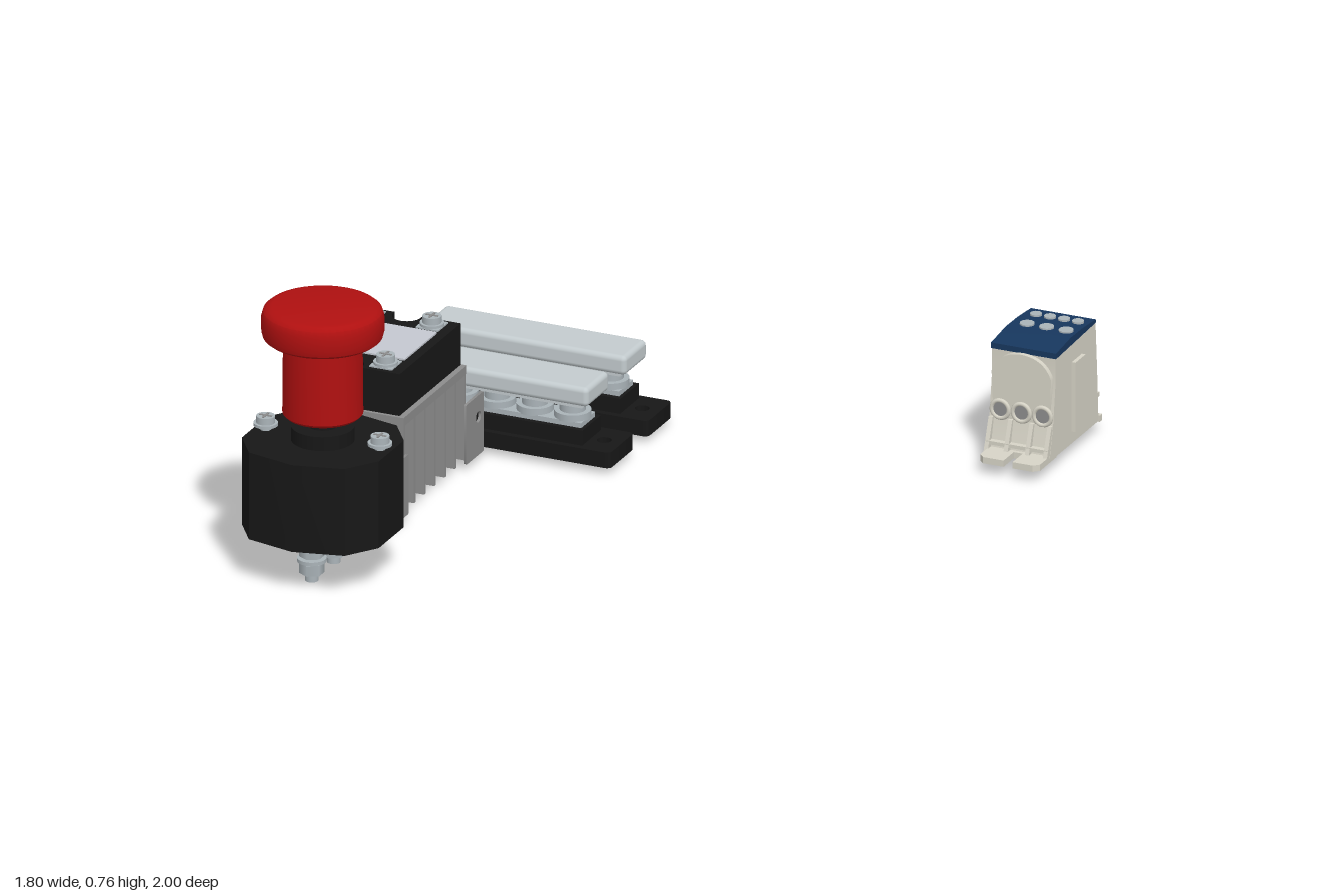
import * as THREE from 'three';
import { RoundedBoxGeometry } from 'three/addons/geometries/RoundedBoxGeometry.js';
import { toCreasedNormals } from 'three/addons/utils/BufferGeometryUtils.js';

const paint = (color) => new THREE.MeshStandardMaterial({ color });
const red = paint(0xb01010), black = paint(0x171717), silver = paint(0xaab3b8), cover = paint(0xc3cbce);
const grey = paint(0x8c8c8c), label = paint(0xc4c8d0), beige = paint(0xd6d3c6), blue = paint(0x17375e);

function add(parent, name, geometry, material, x = 0, y = 0, z = 0) {
  const mesh = new THREE.Mesh(geometry, material);
  mesh.name = name;
  mesh.position.set(x, y, z);
  parent.add(mesh);
  return mesh;
}

// Box given by its limits on each axis
function box(parent, name, material, x0, x1, y0, y1, z0, z1) {
  return add(parent, name, new THREE.BoxGeometry(x1 - x0, y1 - y0, z1 - z0), material,
    (x0 + x1) / 2, (y0 + y1) / 2, (z0 + z1) / 2);
}

// Upright cylinder from y0 to y1
function rod(parent, name, material, r, x, y0, y1, z, sides = 24) {
  return add(parent, name, new THREE.CylinderGeometry(r, r, y1 - y0, sides), material, x, (y0 + y1) / 2, z);
}

function outline(points) {
  return new THREE.Shape(points.map(([a, b]) => new THREE.Vector2(a, b)));
}

function circleHole(shape, x, y, r) {
  shape.holes.push(new THREE.Path().absarc(x, y, r, 0, Math.PI * 2, true));
}

function roundRect(x0, x1, y0, y1, r) {
  const s = new THREE.Shape();
  s.absarc(x1 - r, y1 - r, r, 0, Math.PI / 2);
  s.absarc(x0 + r, y1 - r, r, Math.PI / 2, Math.PI);
  s.absarc(x0 + r, y0 + r, r, Math.PI, Math.PI * 1.5);
  s.absarc(x1 - r, y0 + r, r, Math.PI * 1.5, Math.PI * 2);
  s.closePath();
  return s;
}

const extrude = (shape, depth) => toCreasedNormals(
  new THREE.ExtrudeGeometry(shape, { depth, bevelEnabled: false, curveSegments: 10 }), 0.6);

// Plan shape (x, -z) raised from y0 to y1
function slab(parent, name, material, shape, y0, y1, x = 0, z = 0) {
  return add(parent, name, extrude(shape, y1 - y0).rotateX(-Math.PI / 2), material, x, y0, z);
}

function lathe(points) {
  return toCreasedNormals(new THREE.LatheGeometry(points.map(([r, y]) => new THREE.Vector2(r, y)), 48), 0.6);
}

// Cross-slotted screw head with washer
function screw(parent, x, y, z, r = 0.03) {
  rod(parent, 'screwWasher', silver, r * 1.1, x, y, y + 0.008, z);
  rod(parent, 'screwHead', silver, r * 0.85, x, y + 0.008, y + 0.027, z);
  box(parent, 'screwSlot', grey, x - r * 0.6, x + r * 0.6, y + 0.026, y + 0.029, z - 0.003, z + 0.003);
  box(parent, 'screwSlot', grey, x - 0.003, x + 0.003, y + 0.026, y + 0.029, z - r * 0.6, z + r * 0.6);
}

function createStopSwitch() {
  const g = new THREE.Group();
  g.name = 'stopSwitch';
  g.position.set(-0.595, 0, 0.8);
  slab(g, 'switchBody', black, outline([[0.2, -0.08], [0.2, 0.08], [0.14, 0.167], [0, 0.2], [-0.14, 0.167],
    [-0.2, 0.08], [-0.2, -0.08], [-0.14, -0.167], [0, -0.2], [0.14, -0.167]]), 0.13, 0.38);
  rod(g, 'collar', black, 0.085, 0, 0.38, 0.42, 0, 32);
  rod(g, 'stem', black, 0.04, 0, 0.42, 0.47, 0);
  // Red push knob: neck and rounded cap
  add(g, 'knob', lathe([[0, 0.452], [0.1, 0.452], [0.108, 0.46], [0.106, 0.672], [0.15, 0.672], [0.16, 0.68],
    [0.164, 0.695], [0.164, 0.735], [0.159, 0.752], [0.148, 0.761], [0.135, 0.764], [0, 0.764]]), red);
  for (const s of [-1, 1]) {
    screw(g, s * 0.167, 0.38 + 0.012, 0, 0.03);
    rod(g, 'screwShank', silver, 0.015, s * 0.167, 0.37, 0.395, 0);
    // Terminal studs below the body
    const z = s * 0.07;
    rod(g, 'stud', silver, 0.018, 0, 0, 0.14, z);
    rod(g, 'nut', silver, 0.034, 0, 0.022, 0.052, z, 6);
    rod(g, 'washer', silver, 0.04, 0, 0.056, 0.066, z);
    rod(g, 'nut', silver, 0.034, 0, 0.07, 0.1, z, 6);
  }
  return g;
}

function createRelay() {
  const g = new THREE.Group();
  g.name = 'relay';
  // Finned heat sink
  box(g, 'heatSinkPlate', grey, -0.887, -0.54, 0.275, 0.3, 0, 0.405);
  for (let i = 0; i < 7; i++) {
    const z = 0.007 + i * 0.0652;
    box(g, 'fin', grey, -0.887, -0.54, 0.03, 0.28, z - 0.005, z + 0.005);
  }
  // Mounting brackets at both ends
  for (const s of [-1, 1]) {
    const plate = roundRect(-0.71, -0.58, 0.0, 0.1, 0.006);
    circleHole(plate, -0.648, 0.062, 0.018);
    const foot = extrude(plate, 0.008).rotateX(Math.PI / 2);
    const wing = roundRect(0, 0.112, 0.02, 0.192, 0.006);
    circleHole(wing, 0.078, 0.13, 0.016);
    const side = extrude(wing, 0.008).rotateY(-Math.PI / 2);
    if (s < 0) { foot.rotateY(Math.PI).translate(-1.29, 0, 0); side.rotateY(Math.PI).translate(-0.008, 0, 0); }
    add(g, 'bracketFoot', foot, grey, 0, 0.03, s > 0 ? 0.395 : 0.01);
    add(g, 'bracketWing', side, grey, -0.532, 0, s > 0 ? 0.388 : 0.017);
  }
  // Case with a round notch in each end
  const body = new THREE.Shape();
  body.moveTo(-0.152, -0.195);
  body.lineTo(-0.04, -0.195);
  body.absarc(0, -0.185, 0.04, Math.PI, 0, true);
  body.lineTo(0.04, -0.195);
  body.lineTo(0.152, -0.195);
  body.lineTo(0.152, 0.195);
  body.lineTo(0.04, 0.195);
  body.absarc(0, 0.185, 0.04, 0, Math.PI, true);
  body.lineTo(-0.04, 0.195);
  body.lineTo(-0.152, 0.195);
  body.closePath();
  slab(g, 'relayCase', black, body, 0.3, 0.42, -0.708, 0.2);
  box(g, 'faceplate', label, -0.833, -0.583, 0.418, 0.425, 0.097, 0.303);
  for (const s of [-1, 1]) {
    screw(g, -0.708, 0.3, 0.2 + s * 0.175, 0.03);
    for (const x of [-0.8, -0.618]) {
      screw(g, x, 0.423, 0.2 + s * 0.148, 0.03);
      box(g, 'terminalPlate', silver, x - 0.033, x + 0.033, 0.415, 0.424, 0.2 + s * 0.148 - 0.033, 0.2 + s * 0.148 + 0.033);
    }
  }
  return g;
}

function createBusBar(z) {
  const g = new THREE.Group();
  g.name = 'busBar';
  g.position.set(-0.538, 0, z);
  const base = roundRect(-0.364, 0.364, -0.078, 0.078, 0.015);
  for (const s of [-1, 1]) circleHole(base, s * 0.312, 0, 0.02);
  slab(g, 'base', black, base, 0.02, 0.065);
  box(g, 'riser', black, -0.275, 0.275, 0.06, 0.108, -0.06, 0.06);
  box(g, 'conductor', silver, -0.265, 0.265, 0.105, 0.122, -0.045, 0.045);
  for (let i = 0; i < 5; i++) {
    const x = -0.22 + i * 0.11;
    rod(g, 'washer', silver, 0.05, x, 0.12, 0.14, 0);
    rod(g, 'post', silver, 0.035, x, 0.14, 0.18, 0);
  }
  // Cover: rounded cap over a narrower skirt
  add(g, 'cover', new RoundedBoxGeometry(0.59, 0.055, 0.142, 3, 0.014), cover, 0, 0.207, 0);
  box(g, 'coverSkirt', cover, -0.275, 0.275, 0.172, 0.2, -0.06, 0.06);
  return g;
}

function createTerminalBlock() {
  const g = new THREE.Group();
  g.name = 'terminalBlock';
  // Side profiles as (-z, y), extruded across x
  const across = (name, material, points, x0, x1) => {
    const geo = extrude(outline(points), x1 - x0).rotateY(Math.PI / 2);
    return add(g, name, geo, material, x0, 0, 0);
  };
  across('housing', beige, [[0.615, 0.045], [0.925, 0.045], [0.918, 0.18], [0.907, 0.33], [0.83, 0.335],
    [0.74, 0.335], [0.65, 0.32], [0.652, 0.25], [0.636, 0.13]], 0.7, 0.886);
  across('lid', blue, [[0.65, 0.318], [0.907, 0.328], [0.905, 0.337], [0.82, 0.344], [0.745, 0.345], [0.65, 0.334]], 0.698, 0.888);
  // Raised panels on the sides
  box(g, 'sidePanel', beige, 0.88, 0.897, 0.07, 0.27, -0.82, -0.755);
  box(g, 'sidePanel', beige, 0.693, 0.71, 0.07, 0.27, -0.82, -0.755);
  // Screws seen through the lid
  for (let i = 0; i < 4; i++) rod(g, 'smallScrew', silver, 0.016, 0.735 + i * 0.041, 0.33, 0.347, -0.857);
  for (let i = 0; i < 3; i++) rod(g, 'largeScrew', silver, 0.02, 0.743 + i * 0.057, 0.33, 0.349, -0.783);
  // Arched front panel with three wire entries
  const arch = new THREE.Shape();
  arch.moveTo(0.712, 0.12);
  arch.lineTo(0.874, 0.12);
  arch.lineTo(0.88, 0.26);
  arch.quadraticCurveTo(0.86, 0.318, 0.793, 0.32);
  arch.quadraticCurveTo(0.726, 0.318, 0.706, 0.26);
  arch.closePath();
  const entries = [0.733, 0.795, 0.857];
  add(g, 'frontPanel', extrude(arch, 0.02), beige, 0, 0, -0.656);
  for (const x of entries) {
    add(g, 'entryRim', new THREE.TorusGeometry(0.025, 0.006, 8, 24), beige, x, 0.155, -0.632);
    add(g, 'entryBore', new THREE.CylinderGeometry(0.022, 0.022, 0.03, 20).rotateX(Math.PI / 2), grey, x, 0.155, -0.646);
  }
  // Ribs between the wire channels
  for (const x of [0.707, 0.764, 0.826, 0.879]) {
    across('frontRib', beige, [[0.595, 0.04], [0.66, 0.04], [0.66, 0.13], [0.628, 0.13]], x - 0.006, x + 0.006);
  }
  box(g, 'frontRail', beige, 0.702, 0.884, 0.06, 0.07, -0.66, -0.605);
  // Four wire entries on the back
  for (let i = 0; i < 4; i++) {
    const x = 0.733 + i * 0.041;
    add(g, 'backRim', new THREE.TorusGeometry(0.016, 0.004, 8, 20), beige, x, 0.2, -0.918);
    add(g, 'backBore', new THREE.CylinderGeometry(0.014, 0.014, 0.02, 16).rotateX(Math.PI / 2), grey, x, 0.2, -0.91);
    box(g, 'backRib', beige, x - 0.024, x - 0.018, 0.045, 0.17, -0.945, -0.91);
  }
  box(g, 'backShelf', beige, 0.705, 0.88, 0.1, 0.112, -0.945, -0.91);
  // Front foot with an open slot
  slab(g, 'frontFoot', beige, outline([[0.71, 0.66], [0.71, 0.555], [0.725, 0.54], [0.785, 0.54], [0.785, 0.605],
    [0.811, 0.605], [0.811, 0.54], [0.87, 0.54], [0.885, 0.555], [0.885, 0.66]]), 0.032, 0.05);
  // Rear foot: slotted loop beside a small hook
  const loop = roundRect(0.705, 0.835, 0.93, 0.995, 0.03);
  loop.holes.push(new THREE.Path(roundRect(0.722, 0.79, 0.95, 0.977, 0.012).getPoints(6).reverse()));
  slab(g, 'rearLoop', beige, loop, 0.032, 0.05);
  box(g, 'rearNeck', beige, 0.72, 0.84, 0.032, 0.05, -0.94, -0.88);
  box(g, 'rearArm', beige, 0.82, 0.85, 0.032, 0.05, -0.985, -0.965);
  box(g, 'rearHook', beige, 0.84, 0.852, 0.032, 0.05, -0.94, -0.9);
  box(g, 'rearHook', beige, 0.84, 0.888, 0.032, 0.05, -0.945, -0.93);
  box(g, 'baseFlange', beige, 0.702, 0.886, 0.036, 0.06, -0.925, -0.63);
  return g;
}

export function createModel() {
  const model = new THREE.Group();
  model.name = 'electricalParts';
  model.add(createStopSwitch(), createRelay(), createBusBar(-0.195), createBusBar(-0.438), createTerminalBlock());
  return model;
}
